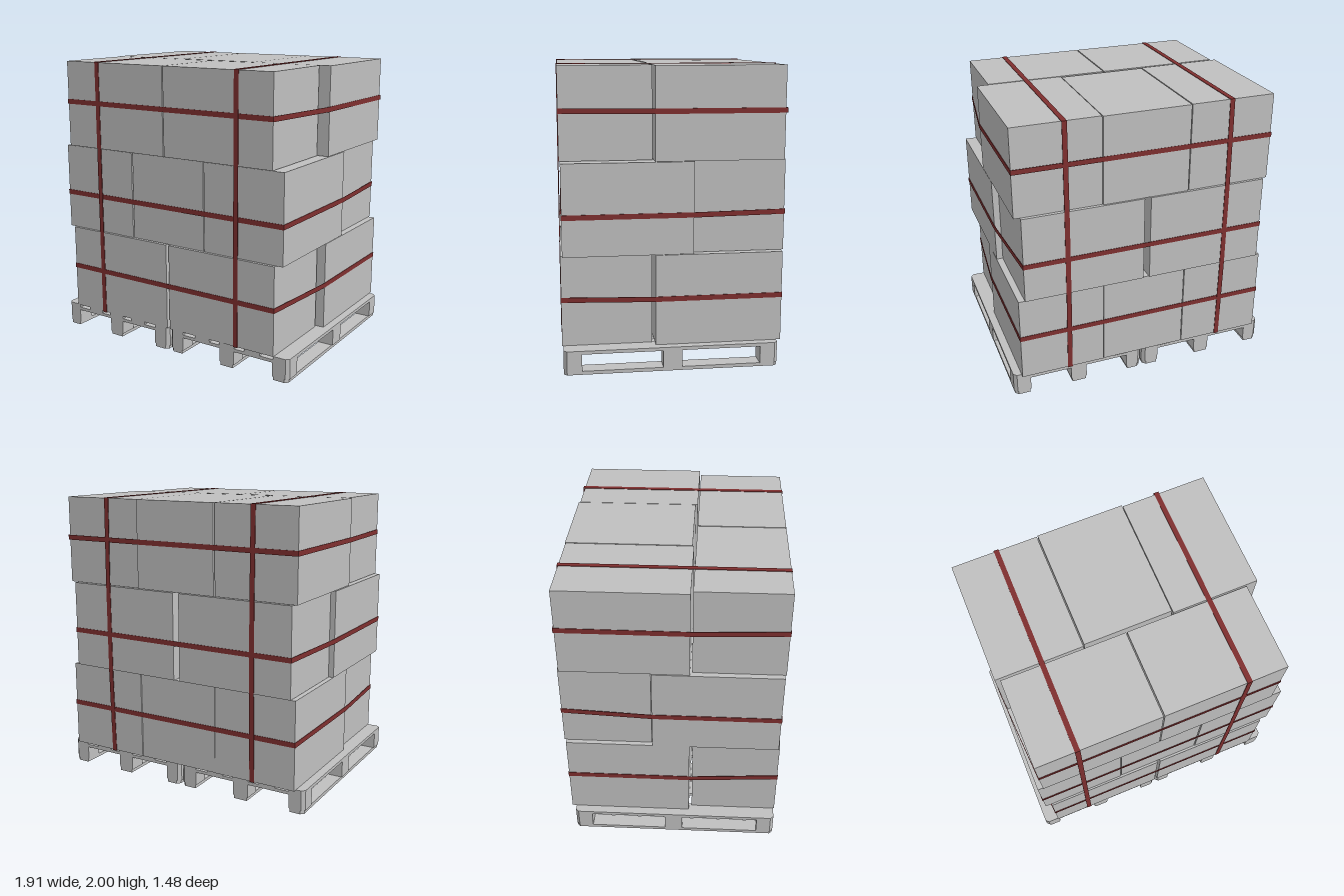
import * as THREE from 'three';

const grey = new THREE.MeshStandardMaterial({ color: 0xc0c0c0 });
grey.name = 'light grey';
const red = new THREE.MeshStandardMaterial({ color: 0x7f2f2f });
red.name = 'dark red';

function box(parent, name, [x0, x1], [y0, y1], [z0, z1]) {
  const mesh = new THREE.Mesh(new THREE.BoxGeometry(x1 - x0, y1 - y0, z1 - z0), grey);
  mesh.position.set((x0 + x1) / 2, (y0 + y1) / 2, (z0 + z1) / 2);
  mesh.name = name;
  parent.add(mesh);
}

// Plank or block whose corners are cut off where they meet a corner of the pallet
const WIDTH = 0.95, BACK = -0.695, FRONT = 0.73, CUT = 0.022;
function pallet(name, left) {
  const group = new THREE.Group();
  group.name = name;
  group.position.x = left;
  const add = (part, [x0, x1], [y0, y1], [z0, z1]) => {
    const pts = [];
    const corners = [[x0, z1, 1, -1], [x1, z1, -1, -1], [x1, z0, -1, 1], [x0, z0, 1, 1]];
    corners.forEach(([x, z, dx, dz], i) => {
      const atX = dx > 0 ? x < 0.02 : x > WIDTH - 0.02;
      const atZ = dz > 0 ? z < BACK + 0.01 : z > FRONT - 0.01;
      if (!(atX && atZ)) return pts.push(new THREE.Vector2(x, -z));
      const a = new THREE.Vector2(x + dx * CUT, -z), b = new THREE.Vector2(x, -(z + dz * CUT));
      if (i % 2 === 0) pts.push(b, a); else pts.push(a, b);
    });
    const geo = new THREE.ExtrudeGeometry(new THREE.Shape(pts), { depth: y1 - y0, bevelEnabled: false });
    geo.rotateX(-Math.PI / 2).translate(0, y0, 0);
    const mesh = new THREE.Mesh(geo, grey);
    mesh.name = part;
    group.add(mesh);
  };
  const rows = [[BACK, -0.575], [-0.05, 0.075], [0.61, FRONT]];
  const runners = [[0, 0.112], [0.418, 0.532], [0.83, WIDTH]];
  for (const [x0, x1] of runners) {
    add('bottomBoard', [x0 + 0.007, x1 - 0.007], [0, 0.024], [BACK, FRONT]);
    for (const z of rows) add('block', [x0, x1], [0.024, 0.12], z);
  }
  for (const z of rows) add('crossBoard', [0, WIDTH], [0.12, 0.142], z);
  for (const x of [[0, 0.115], [0.215, 0.335], [0.415, 0.535], [0.615, 0.735], [0.835, WIDTH]])
    add('deckBoard', x, [0.142, 0.165], [BACK, FRONT]);
  return group;
}

// Thin closed band around a convex outline, extruded by the strap width
const STRAP = 0.034;
function band(points, cx, cy) {
  const grow = (t) => points.map(([x, y]) =>
    new THREE.Vector2(x + t * Math.sign(x - cx), y + t * Math.sign(y - cy)));
  const shape = new THREE.Shape(grow(0.004));
  shape.holes.push(new THREE.Path(grow(0.0005)));
  return new THREE.ExtrudeGeometry(shape, { depth: STRAP, bevelEnabled: false });
}

export function createModel() {
  const model = new THREE.Group();
  model.name = 'strappedPalletLoad';

  // Two pallets side by side
  model.add(pallet('rightPallet', -0.96), pallet('leftPallet', 0.005));

  // Cartons: each layer has a row of three and a row of two, alternating front and back
  const layers = [
    { name: 'bottomCarton', y: [0.165, 0.777], boxes: [
      [-0.86, -0.012, 0.14, 0.737], [0.01, 0.845, 0.14, 0.737],
      [-0.9, -0.305, -0.725, 0.12], [-0.3, 0.3, -0.722, 0.12], [0.305, 0.9, -0.725, 0.12]] },
    { name: 'middleCarton', y: [0.78, 1.388], boxes: [
      [-0.905, -0.308, -0.13, 0.725], [-0.3, 0.292, -0.13, 0.722], [0.3, 0.9, -0.13, 0.725],
      [-0.87, -0.03, -0.738, -0.137], [0.015, 0.857, -0.738, -0.137]] },
    { name: 'topCarton', y: [1.391, 1.996], boxes: [
      [-0.868, -0.026, 0.133, 0.733], [-0.018, 0.82, 0.133, 0.733],
      [-0.9, -0.308, -0.725, 0.118], [-0.3, 0.303, -0.73, 0.108], [0.307, 0.9, -0.72, 0.123]] },
  ];
  for (const { name, y, boxes } of layers)
    for (const [x0, x1, z0, z1] of boxes) box(model, name, [x0, x1], y, [z0, z1]);

  // Horizontal straps, one round each layer
  const loops = [
    [0.48, [[-0.86, 0.737], [0.845, 0.737], [0.9, 0.12], [0.9, -0.725], [-0.9, -0.725], [-0.9, 0.12]]],
    [1.04, [[-0.905, 0.725], [0.9, 0.725], [0.9, -0.13], [0.857, -0.738], [-0.87, -0.738], [-0.905, -0.13]]],
    [1.71, [[-0.868, 0.733], [0.82, 0.733], [0.9, 0.123], [0.9, -0.728], [-0.9, -0.728], [-0.9, 0.118]]],
  ];
  for (const [y, pts] of loops) {
    const geo = band(pts.map(([x, z]) => [x, -z]), 0, 0);
    geo.rotateX(-Math.PI / 2).translate(0, y - STRAP / 2, 0);
    const mesh = new THREE.Mesh(geo, red);
    mesh.name = 'horizontalStrap';
    model.add(mesh);
  }

  // Vertical straps over the whole stack
  const profile = [[0.737, 0.165], [0.737, 0.777], [0.733, 1.996], [-0.728, 1.996],
    [-0.738, 1.388], [-0.738, 0.78], [-0.725, 0.165]];
  for (const x of [-0.59, 0.555]) {
    const geo = band(profile, 0, 1.08);
    geo.rotateY(-Math.PI / 2).translate(x + STRAP / 2, 0, 0);
    const mesh = new THREE.Mesh(geo, red);
    mesh.name = 'verticalStrap';
    model.add(mesh);
  }
  return model;
}
